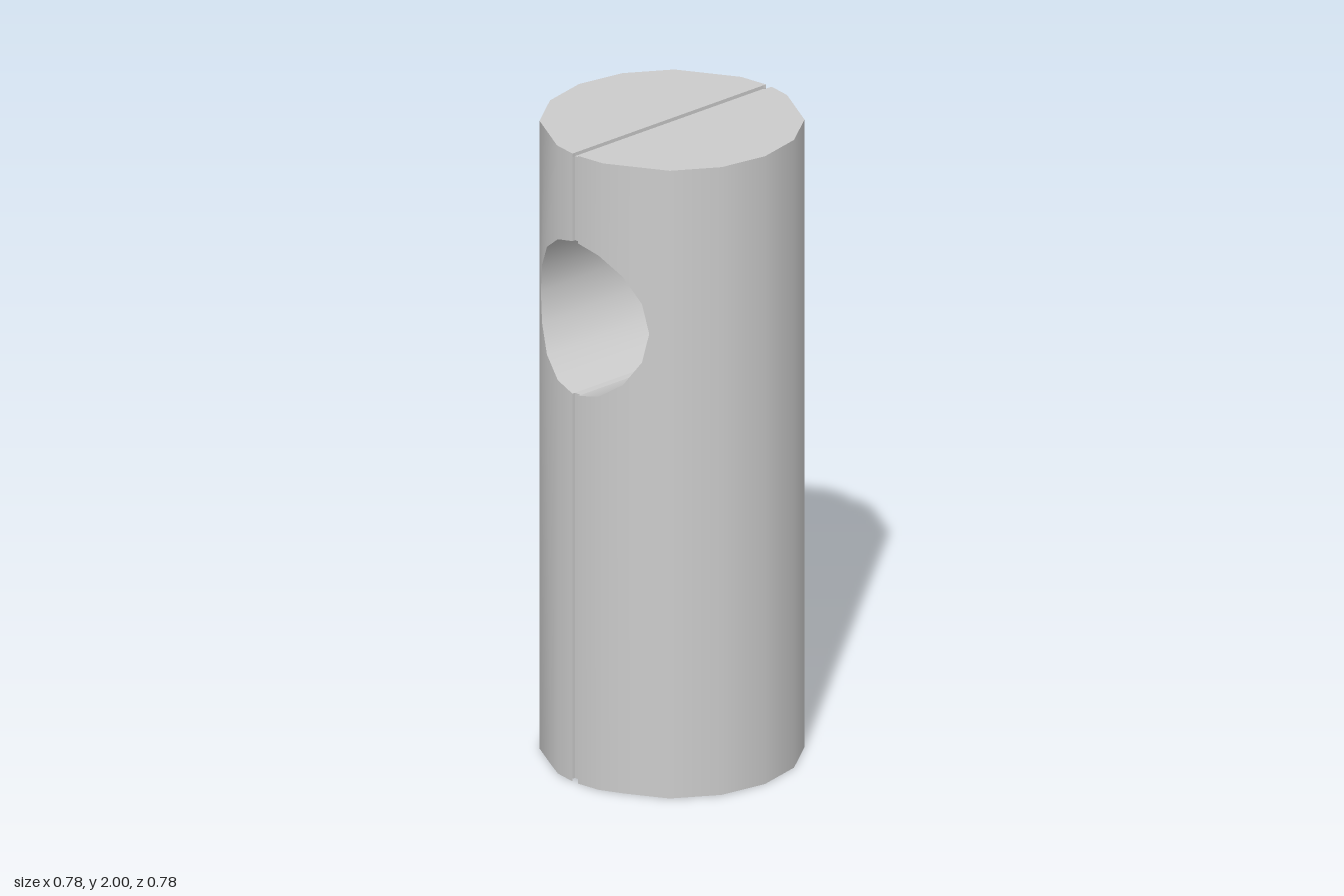
import * as THREE from 'three';

const R = 0.39, H = 2, G = 0.012, DEPTH = 0.011; // body radius, height, groove half width and depth
const HOLE_Y = 1.478, HOLE_R = 0.243, FRONT_RX = 0.235, BACK_RX = 0.222;
const rad = THREE.MathUtils.degToRad;
const mat = new THREE.MeshStandardMaterial({ color: 0xcccccc, side: THREE.DoubleSide });

// Corners of one half of the rim, as angles from the front
const G_ANGLE = Math.asin(G / R);
const RIM = [G_ANGLE, ...[15.6, 46, 69, 91.5, 114, 137.6, 166.7].map(rad), Math.PI - G_ANGLE];

function mesh(name, geometry, parent) {
  const m = new THREE.Mesh(geometry, mat);
  m.name = name;
  parent.add(m);
  return m;
}

// Radius of the faceted rim in a given direction
function rimRadius(a) {
  let i = 0;
  while (i < RIM.length - 2 && a > RIM[i + 1]) i++;
  const half = (RIM[i + 1] - RIM[i]) / 2;
  return (R * Math.cos(half)) / Math.cos(a - RIM[i] - half);
}

function fromArrays(pos, idx, normals) {
  const g = new THREE.BufferGeometry();
  g.setAttribute('position', new THREE.Float32BufferAttribute(pos, 3));
  g.setIndex(idx);
  if (normals) g.setAttribute('normal', new THREE.Float32BufferAttribute(normals, 3));
  else g.computeVertexNormals();
  return g;
}

// Half wall: upright columns, split where the round opening cuts them
function wallGeometry() {
  const columns = [];
  const holeColumn = (k, rx, back) => {
    const t = (k * Math.PI) / 8;
    const a = Math.asin(Math.max(G, rx * Math.sin(t)) / R);
    return { a: back ? Math.PI - a : a, dy: HOLE_R * Math.cos(t) };
  };
  for (let k = 0; k <= 4; k++) columns.push(holeColumn(k, FRONT_RX, false));
  for (const a of RIM.slice(2, 7)) columns.push({ a, dy: 0 });
  for (let k = 4; k >= 0; k--) columns.push(holeColumn(k, BACK_RX, true));

  const pos = [], nor = [], idx = [];
  columns.forEach(({ a, dy }, i) => {
    const s = Math.sin(a), c = Math.cos(a), rim = rimRadius(a);
    for (const [r, y] of [[rim, 0], [R, HOLE_Y - dy], [R, HOLE_Y + dy], [rim, H]]) {
      pos.push(r * s, y, r * c);
      nor.push(s, 0, c);
    }
    if (i === 0) return;
    for (const row of [0, 2]) {
      const p = (i - 1) * 4 + row, q = i * 4 + row;
      idx.push(p, q, q + 1, p, q + 1, p + 1);
    }
  });
  return fromArrays(pos, idx, nor);
}

// Half of the tunnel joining the front and back openings
function tunnelGeometry() {
  const pos = [], idx = [];
  for (let k = 0; k <= 8; k++) {
    const t = (k * Math.PI) / 8, y = HOLE_Y + HOLE_R * Math.cos(t);
    for (const [rx, side] of [[FRONT_RX, 1], [BACK_RX, -1]]) {
      const x = Math.max(G, rx * Math.sin(t));
      pos.push(x, y, side * Math.sqrt(R * R - x * x));
    }
    if (k < 8) {
      const f = 2 * k, b = f + 1;
      idx.push(b, b + 2, f + 2, b, f + 2, f);
    }
  }
  return fromArrays(pos, idx);
}

function topGeometry() {
  const pts = RIM.map((a) => new THREE.Vector2(R * Math.sin(a), -R * Math.cos(a)));
  return new THREE.ShapeGeometry(new THREE.Shape(pts)).rotateX(-Math.PI / 2);
}

// Shallow open channel along y, its mouth facing +z at z = 0
function channel(name, length, parent) {
  const group = new THREE.Group();
  group.name = name;
  mesh('grooveFloor', new THREE.PlaneGeometry(2 * G, length), group).position.z = -DEPTH;
  for (const side of [-1, 1]) {
    const wall = mesh('grooveSide', new THREE.PlaneGeometry(DEPTH, length), group);
    wall.position.set(side * G, 0, -DEPTH / 2);
    wall.rotation.y = (-side * Math.PI) / 2;
  }
  parent.add(group);
  return group;
}

// Round core with a ring of ten pointed rays
function sunOrnament() {
  const sun = new THREE.Group();
  sun.name = 'sunOrnament';
  mesh('sunCore', new THREE.SphereGeometry(0.115, 32, 20), sun).scale.z = 0.6;
  for (let i = 0; i < 10; i++) {
    const a = (i * Math.PI) / 5;
    const ray = mesh('sunRay', new THREE.ConeGeometry(0.036, 0.12, 16), sun);
    ray.position.set(0.155 * Math.cos(a), 0.155 * Math.sin(a), 0);
    ray.rotation.z = a - Math.PI / 2;
  }
  sun.position.set(0, 1.488, -0.05);
  return sun;
}

export function createModel() {
  const model = new THREE.Group();
  model.name = 'splitColumn';

  // Two halves, each the other turned half way round
  const wall = wallGeometry(), tunnel = tunnelGeometry(), top = topGeometry();
  for (const [name, turn] of [['leftHalf', 0], ['rightHalf', Math.PI]]) {
    const half = new THREE.Group();
    half.name = name;
    half.rotation.y = turn;
    mesh('wall', wall, half);
    mesh('tunnelWall', tunnel, half);
    mesh('topFace', top, half).position.y = H;
    model.add(half);
  }

  // Groove running up the front, over the top and down the back
  const edge = R * Math.cos(G_ANGLE);
  for (const [name, turn] of [['frontGroove', 0], ['backGroove', Math.PI]]) {
    const side = new THREE.Group();
    side.name = name;
    side.rotation.y = turn;
    for (const [y0, y1] of [[0.008, HOLE_Y - HOLE_R], [HOLE_Y + HOLE_R, H - DEPTH]]) {
      channel('grooveRun', y1 - y0, side).position.set(0, (y0 + y1) / 2, edge);
    }
    model.add(side);
  }
  const topGroove = channel('topGroove', 2 * (edge - DEPTH), model);
  topGroove.rotation.x = -Math.PI / 2;
  topGroove.position.y = H;

  // Narrow strips closing the tunnel along its roof and floor
  for (const dir of [-1, 1]) {
    const strip = mesh('tunnelSeam', new THREE.PlaneGeometry(2 * G, 2 * (edge - DEPTH)), model);
    strip.rotation.x = (dir * Math.PI) / 2;
    strip.position.y = HOLE_Y + dir * HOLE_R;
  }

  model.add(sunOrnament());
  return model;
}
